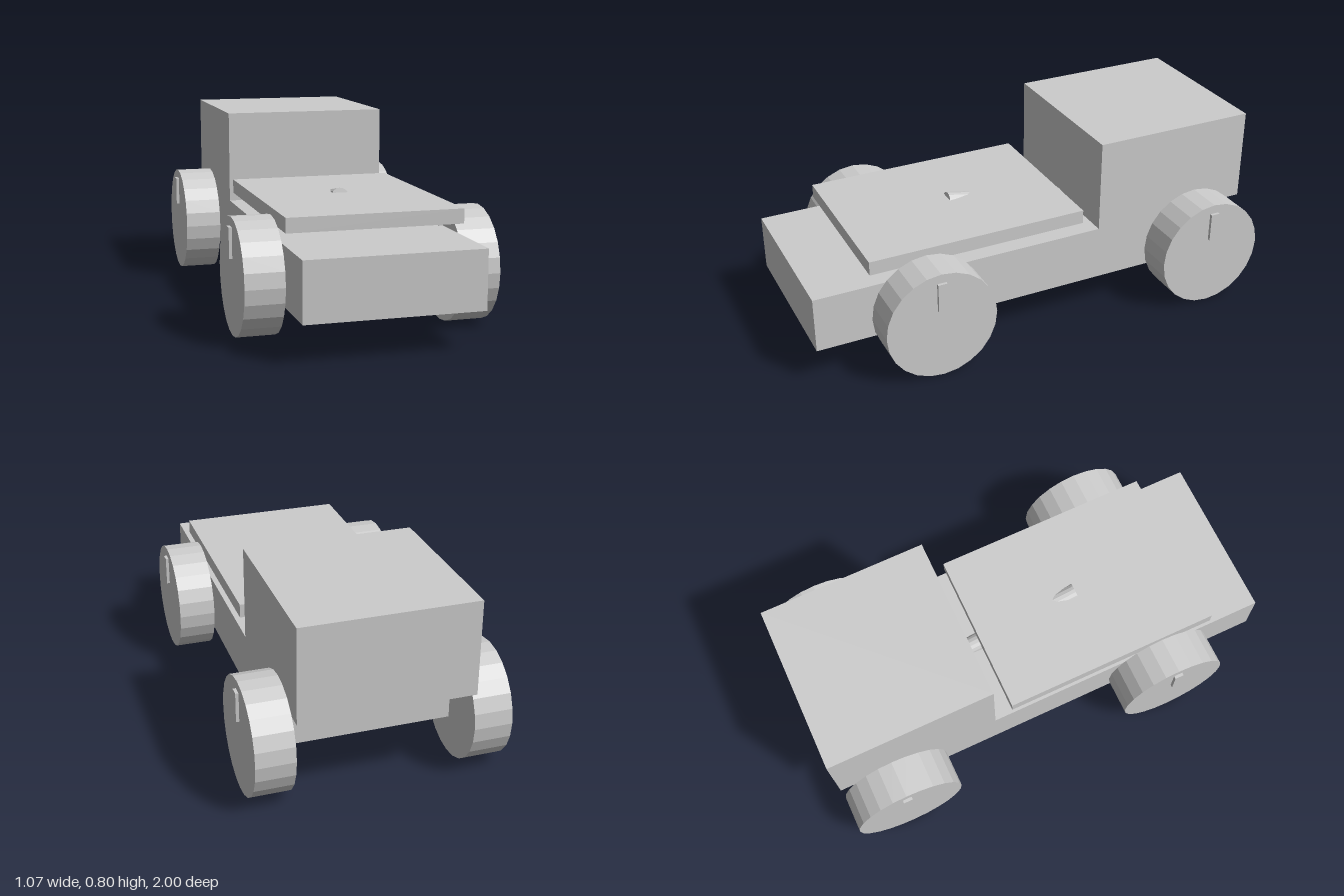
import * as THREE from 'three';

export function createModel() {
  const model = new THREE.Group();
  model.name = 'buggy';
  const grey = new THREE.MeshStandardMaterial({ color: 0xcccccc, flatShading: true });
  grey.name = 'light grey';

  const add = (name, geometry, x, y, z) => {
    const mesh = new THREE.Mesh(geometry, grey);
    mesh.name = name;
    mesh.position.set(x, y, z);
    model.add(mesh);
    return mesh;
  };

  // Body: chassis stops under the cab, which overhangs at the rear
  add('chassis', new THREE.BoxGeometry(0.72, 0.24, 1.76), 0, 0.28, 0.12);
  add('cab', new THREE.BoxGeometry(0.72, 0.4, 0.72), 0, 0.6, -0.64);
  add('hoodPlate', new THREE.BoxGeometry(0.72, 0.06, 0.96), 0, 0.48, 0.28);

  // Sloping rod that carries the hood plate
  const rod = add('supportRod', new THREE.CylinderGeometry(0.04, 0.04, 0.56, 16), 0, 0.438, 0);
  rod.rotation.x = Math.PI / 2 - 0.19;

  // Wheels, each with a small bar through it above the centre
  const wheelGeometry = new THREE.CylinderGeometry(0.24, 0.24, 0.16, 24).rotateZ(Math.PI / 2);
  const barGeometry = new THREE.BoxGeometry(0.19, 0.125, 0.04);
  for (const [end, z] of [['front', 0.52], ['rear', -0.76]]) {
    for (const [side, s] of [['Left', 1], ['Right', -1]]) {
      add(`${end}${side}Wheel`, wheelGeometry, s * 0.44, 0.24, z);
      add(`${end}${side}WheelBar`, barGeometry, s * 0.438, 0.378, z);
    }
  }
  return model;
}
